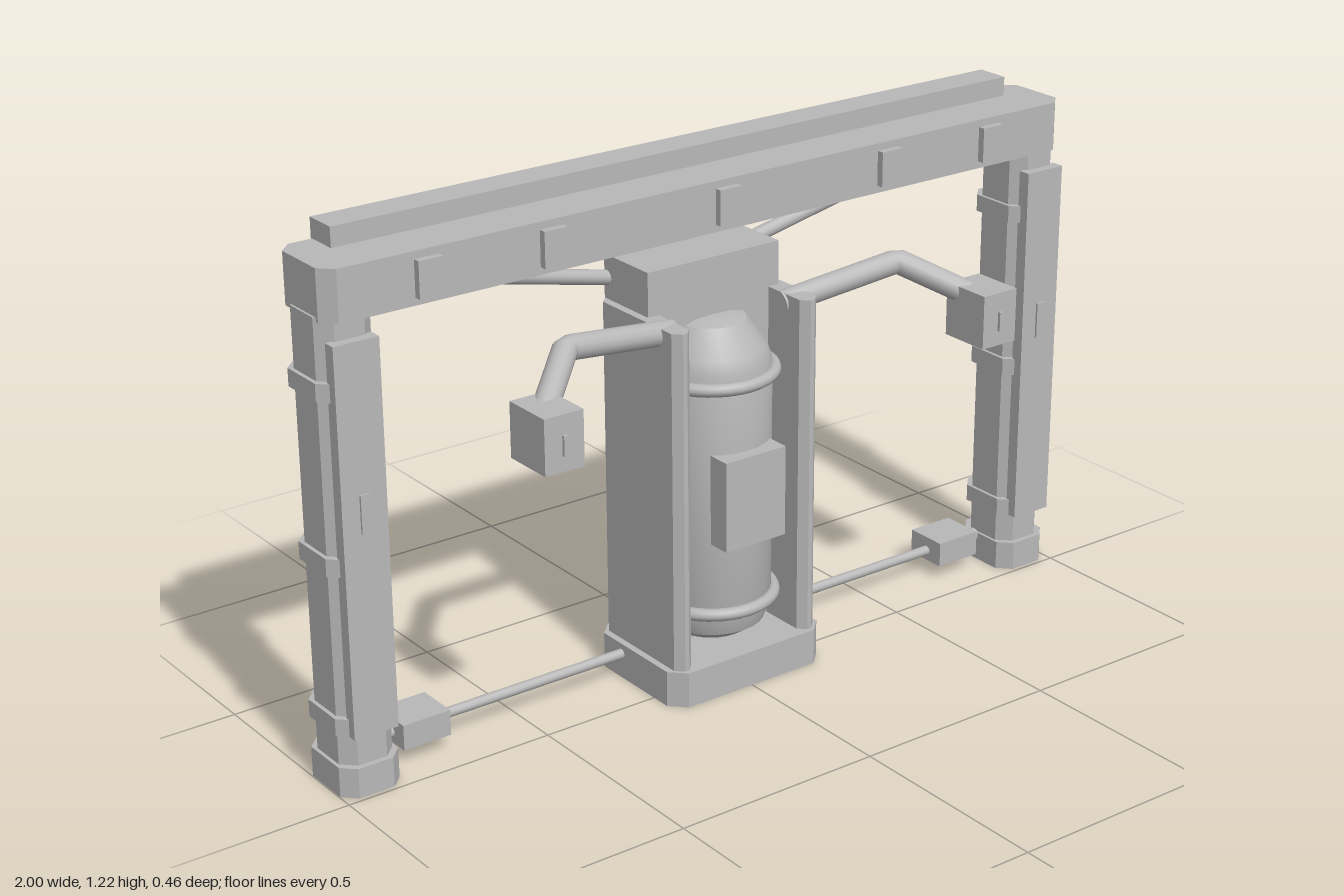
import * as THREE from 'three';
import { toCreasedNormals } from 'three/addons/utils/BufferGeometryUtils.js';

export function createModel() {
  const root = new THREE.Group();
  root.name = 'gantryStation';
  const grey = new THREE.MeshStandardMaterial({ color: 0xb8b8b8 });
  grey.name = 'plain grey';

  function add(name, geometry, parent = root) {
    const mesh = new THREE.Mesh(geometry, grey);
    mesh.name = name;
    parent.add(mesh);
    return mesh;
  }

  // Box given by its limits on each axis
  function block(name, [x0, x1], [y0, y1], [z0, z1], parent) {
    const g = new THREE.BoxGeometry(x1 - x0, y1 - y0, z1 - z0);
    g.translate((x0 + x1) / 2, (y0 + y1) / 2, (z0 + z1) / 2);
    return add(name, g, parent);
  }

  // Upright prism whose four vertical corners are cut off
  function prism(name, [x0, x1], [y0, y1], [z0, z1], cut, parent) {
    const w = (x1 - x0) / 2, d = (z1 - z0) / 2;
    const shape = new THREE.Shape([
      [w - cut, -d], [w, cut - d], [w, d - cut], [w - cut, d],
      [cut - w, d], [-w, d - cut], [-w, cut - d], [cut - w, -d],
    ].map(([x, y]) => new THREE.Vector2(x, y)));
    const g = new THREE.ExtrudeGeometry(shape, { depth: y1 - y0, bevelEnabled: false });
    g.rotateX(-Math.PI / 2);
    g.translate((x0 + x1) / 2, y0, (z0 + z1) / 2);
    return add(name, g, parent);
  }

  // Round pipe through a few points with straight runs
  function pipe(name, points, radius, parent) {
    const path = new THREE.CatmullRomCurve3(
      points.map((p) => new THREE.Vector3(...p)), false, 'catmullrom', 0);
    return add(name, new THREE.TubeGeometry(path, 32, radius, 14), parent);
  }

  // Overhead beam, its top rail and front tabs
  prism('beam', [-0.985, 0.985], [1.06, 1.175], [-0.2, -0.01], 0.03);
  block('topRail', [-0.9, 0.9], [1.17, 1.22], [-0.205, -0.125]);
  for (const x of [-0.75, -0.45, 0, 0.45, 0.75]) {
    block('beamTab', [x - 0.029, x + 0.029], [1.077, 1.158], [-0.02, 0.007]);
  }

  // Central housing
  prism('base', [-0.213, 0.213], [0, 0.085], [-0.228, 0.085], 0.035);
  block('backHousing', [-0.178, 0.178], [0.08, 0.987], [-0.217, -0.055]);

  // Tank with domed ends, hoops and a front panel
  const tankZ = -0.07;
  const profile = [
    [0, 0.1], [0.085, 0.1], [0.122, 0.125], [0.137, 0.17], [0.137, 0.75],
    [0.125, 0.785], [0.08, 0.845], [0.05, 0.853], [0, 0.855],
  ].map(([r, y]) => new THREE.Vector2(r, y));
  const tank = toCreasedNormals(new THREE.LatheGeometry(profile, 28), 0.5);
  add('tank', tank).position.z = tankZ;
  for (const y of [0.185, 0.725]) {
    const hoop = add('tankHoop', new THREE.TorusGeometry(0.142, 0.015, 10, 36));
    hoop.rotation.x = Math.PI / 2;
    hoop.position.set(0, y, tankZ);
  }
  block('tankPanel', [-0.082, 0.082], [0.357, 0.57], [0.03, 0.096]);

  // Everything that appears on both sides
  for (const s of [-1, 1]) {
    const side = new THREE.Group();
    side.name = s > 0 ? 'leftSide' : 'rightSide';
    root.add(side);
    const X = (a, b) => (s > 0 ? [a, b] : [-b, -a]);
    const P = (list) => list.map(([x, y, z]) => [s * x, y, z]);

    // Post with foot, straps and front cover
    prism('foot', X(0.853, 0.998), [0, 0.07], [-0.185, -0.01], 0.03, side);
    prism('post', X(0.86, 0.99), [0.06, 1.07], [-0.172, -0.023], 0.03, side);
    for (const y of [0.165, 0.532, 0.915]) {
      prism('strap', X(0.852, 0.999), [y - 0.02, y + 0.02], [-0.182, -0.012], 0.03, side);
    }
    block('postCover', X(0.872, 0.978), [0.145, 1.02], [-0.03, 0], side);
    block('coverMark', X(0.914, 0.936), [0.605, 0.692], [-0.003, 0.005], side);

    // Side cheek of the housing
    prism('cheek', X(0.15, 0.197), [0.08, 0.885], [-0.215, 0.073], 0.018, side);

    // Slim fin low on the back
    const fin = add('backFin', new THREE.ConeGeometry(0.006, 0.15, 8), side);
    fin.position.set(s * 0.145, 0.16, -0.217);

    // Brace from the housing up to the post
    pipe('brace', P([[0.14, 0.925, -0.21], [0.6, 1.035, -0.185], [0.9, 1.015, -0.15]]), 0.017, side);

    // Bent arm with a square head
    pipe('arm', P([[0.15, 0.86, -0.01], [0.45, 0.905, 0.03], [0.6, 0.815, 0.155]]), 0.028, side);
    block('armHead', X(0.54, 0.636), [0.73, 0.855], [0.1, 0.225], side);
    block('headMark', X(0.583, 0.593), [0.765, 0.81], [0.22, 0.232], side);

    // Floor rod with connector
    pipe('floorRod', P([[0.19, 0.06, -0.125], [0.88, 0.06, -0.125]]), 0.012, side);
    block('connector', X(0.7, 0.818), [0.035, 0.095], [-0.18, -0.075], side);
    const collar = add('rodCollar', new THREE.CylinderGeometry(0.017, 0.017, 0.02, 12), side);
    collar.rotation.z = Math.PI / 2;
    collar.position.set(s * 0.845, 0.06, -0.125);
  }

  return root;
}
